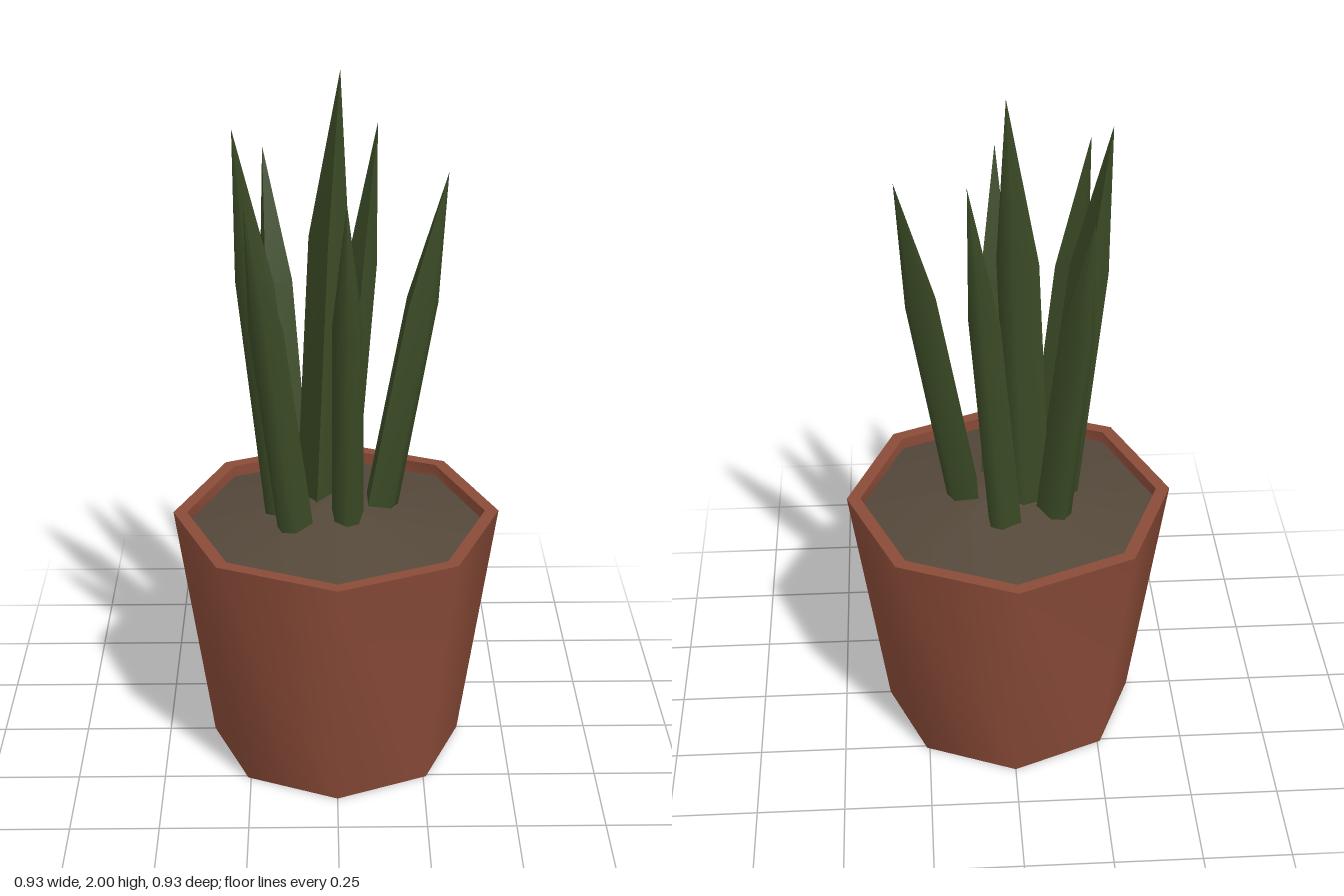
import * as THREE from 'three';
import { toCreasedNormals } from 'three/addons/utils/BufferGeometryUtils.js';

const material = (name, color) => {
  const m = new THREE.MeshStandardMaterial({ color });
  m.name = name;
  return m;
};

// Five-sided leaf section: [across, outward], flat inner side and ridged outer side
const SECTION = [[-0.05, -0.045], [0.05, -0.045], [0.038, 0.025], [0, 0.046], [-0.038, 0.025]];

// Leaf from two section rings and a pointed tip; facing is the outward direction [x, z]
function leafGeometry({ base, tip, facing, size }) {
  const bottom = new THREE.Vector3(base[0], 0.74, base[1]);
  const top = new THREE.Vector3(...tip);
  const out = new THREE.Vector3(facing[0], 0, facing[1]).normalize();
  const across = new THREE.Vector3(-out.z, 0, out.x);
  const ring = (t, scale) => {
    const center = bottom.clone().lerp(top, t);
    return SECTION.map(([a, o]) => center.clone()
      .addScaledVector(across, a * scale)
      .addScaledVector(out, o * scale));
  };
  const low = ring(0, size);
  const mid = ring(0.63, size * 0.92);
  const points = [];
  const n = SECTION.length;
  for (let i = 0; i < n; i++) {
    const j = (i + 1) % n;
    points.push(low[i], low[j], mid[j], low[i], mid[j], mid[i]);
    points.push(mid[i], mid[j], top);
    points.push(low[j], low[i], bottom);
  }
  const geometry = new THREE.BufferGeometry().setFromPoints(points);
  return toCreasedNormals(geometry, 1.1);
}

const LEAVES = [
  { name: 'centerLeaf', base: [-0.04, -0.05], tip: [0.012, 2.0, -0.085], facing: [0.87, -0.5], size: 1.15 },
  { name: 'leftLeaf', base: [0.13, -0.015], tip: [0.302, 1.74, -0.015], facing: [1, 0], size: 1.0 },
  { name: 'rightLeaf', base: [-0.155, 0.01], tip: [-0.275, 1.87, 0.025], facing: [-0.9, 0.4], size: 1.1 },
  { name: 'backRightLeaf', base: [-0.13, -0.115], tip: [-0.203, 1.74, -0.268], facing: [-0.45, -0.89], size: 0.9 },
  { name: 'backLeftLeaf', base: [0.028, -0.155], tip: [0.117, 1.82, -0.217], facing: [0.8, -0.55], size: 0.84 },
  { name: 'frontRightLeaf', base: [-0.125, 0.118], tip: [-0.24, 1.74, 0.245], facing: [-0.65, 0.75], size: 0.9 },
  { name: 'frontLeaf', base: [0.03, 0.098], tip: [0.025, 1.73, 0.235], facing: [-0.05, 1], size: 0.9 },
];

export function createModel() {
  const model = new THREE.Group();
  model.name = 'pottedPlant';
  const terracotta = material('terracotta', 0x8a4b38);
  const earth = material('earth', 0x54483a);
  const green = material('leafGreen', 0x3a4a25);

  const add = (name, geometry, mat) => {
    const mesh = new THREE.Mesh(geometry, mat);
    mesh.name = name;
    model.add(mesh);
    return mesh;
  };

  // Octagonal tapered pot with closed base, rim and inner wall
  const profile = [[0, 0], [0.365, 0], [0.467, 0.735], [0.428, 0.735], [0.428, 0.69]]
    .map(([r, y]) => new THREE.Vector2(r, y));
  add('pot', toCreasedNormals(new THREE.LatheGeometry(profile, 8), Math.PI / 3), terracotta);

  // Gently mounded soil
  const soil = add('soil', new THREE.ConeGeometry(0.428, 0.09, 8, 1, true), earth);
  soil.position.y = 0.745;

  // Upright pointed leaves
  for (const leaf of LEAVES) add(leaf.name, leafGeometry(leaf), green);

  return model;
}
